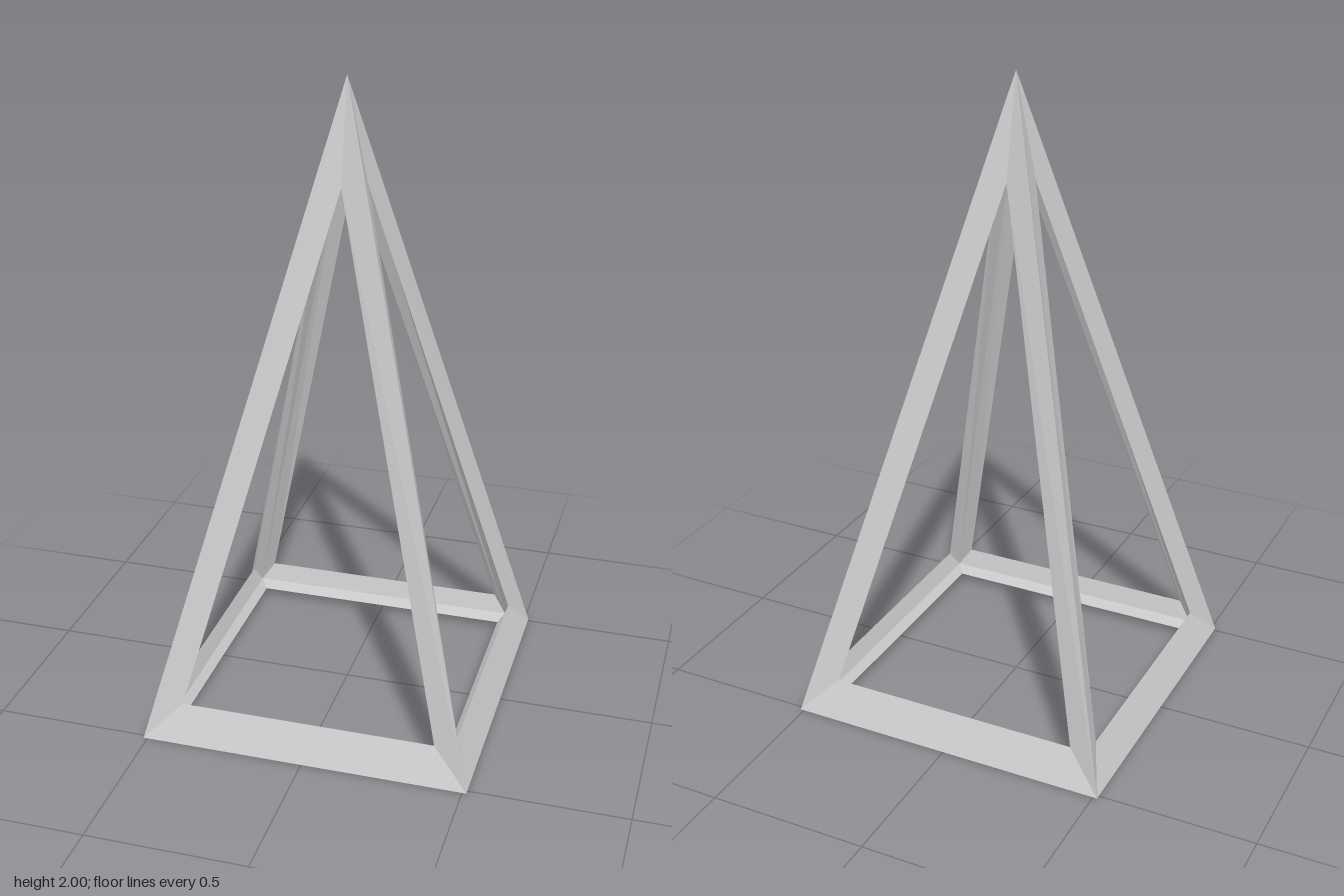
import * as THREE from 'three';

const material = new THREE.MeshStandardMaterial({ color: 0xcccccc, flatShading: true });

// Bar joining two matching four-point mitred sections
function bar(start, end) {
  const positions = [];
  for (let i = 0; i < 4; i++) {
    const j = (i + 1) % 4;
    positions.push(
      ...start[i], ...end[i], ...end[j],
      ...start[i], ...end[j], ...start[j]
    );
  }
  const geometry = new THREE.BufferGeometry();
  geometry.setAttribute('position', new THREE.Float32BufferAttribute(positions, 3));
  geometry.computeVertexNormals();
  return geometry;
}

export function createModel() {
  const group = new THREE.Group();

  // Diamond section of a base bar: outer edge, side opening, inner edge, floor opening
  const baseEnd = (s) => [
    [s * 0.513, 0, 0.513],
    [s * 0.4, 0.111, 0.458],
    [s * 0.4415, 0.052, 0.4415],
    [s * 0.42, 0.026, 0.42],
  ];
  const baseGeometry = bar(baseEnd(-1), baseEnd(1));

  // Sloping leg from a base corner up to the apex
  const legGeometry = bar(
    [[0.513, 0, 0.513], [0.4, 0.111, 0.458], [0.4415, 0.052, 0.4415], [0.458, 0.111, 0.4]],
    [[0, 2, 0], [0, 1.685, 0.063], [0, 1.885, 0], [0.063, 1.685, 0]]
  );

  // Four matching sides
  for (let i = 0; i < 4; i++) {
    for (const [name, geometry] of [['baseBar', baseGeometry], ['leg', legGeometry]]) {
      const mesh = new THREE.Mesh(geometry, material);
      mesh.name = name + (i + 1);
      mesh.rotation.y = (i * Math.PI) / 2;
      group.add(mesh);
    }
  }
  group.name = 'pyramidFrame';
  return group;
}
